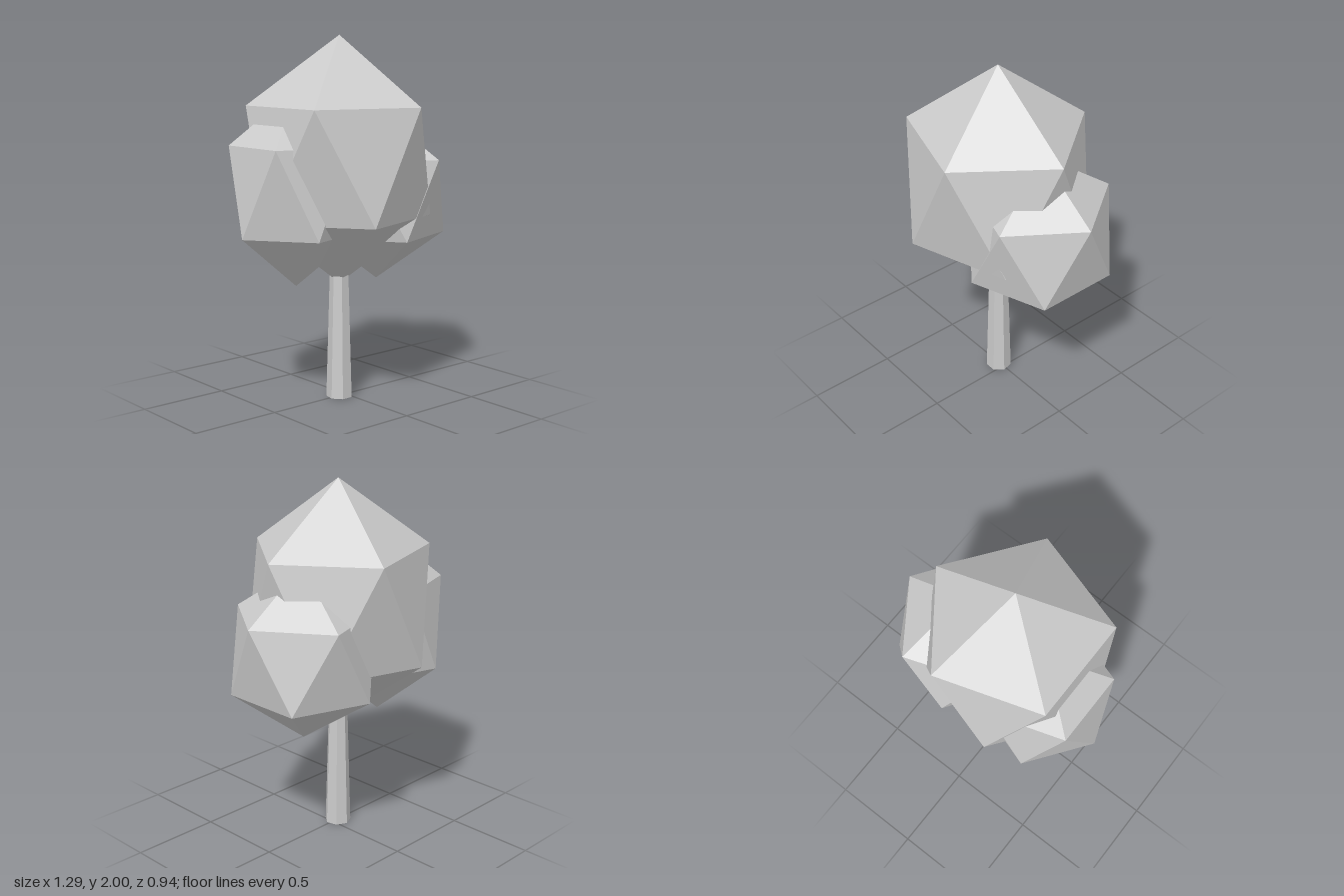
import * as THREE from 'three';
import { ConvexGeometry } from 'three/addons/geometries/ConvexGeometry.js';

const leafMaterial = new THREE.MeshStandardMaterial({ color: 0xcccccc, flatShading: true });
const barkMaterial = new THREE.MeshStandardMaterial({ color: 0xcccccc, flatShading: true });

// Stretched icosahedron standing on its tip: two poles and two staggered rings of five
function foliage(name, center, ringX, ringZ, halfHeight) {
  const points = [new THREE.Vector3(0, halfHeight, 0), new THREE.Vector3(0, -halfHeight, 0)];
  const ringY = halfHeight / Math.sqrt(5);
  for (let i = 0; i < 10; i++) {
    const a = (i * Math.PI) / 5;
    points.push(new THREE.Vector3(ringX * Math.cos(a), i % 2 ? -ringY : ringY, ringZ * Math.sin(a)));
  }
  const mesh = new THREE.Mesh(new ConvexGeometry(points), leafMaterial);
  mesh.name = name;
  mesh.position.set(...center);
  return mesh;
}

export function createModel() {
  const tree = new THREE.Group();
  tree.name = 'tree';

  // Seven-sided tapering trunk, its top hidden in the crown
  const trunk = new THREE.Mesh(new THREE.CylinderGeometry(0.048, 0.074, 0.9, 7), barkMaterial);
  trunk.name = 'trunk';
  trunk.position.set(-0.043, 0.45, 0);
  trunk.rotation.y = Math.PI;
  tree.add(trunk);

  // Large central crown with a smaller clump on each side
  tree.add(
    foliage('mainCrown', [-0.043, 1.323, 0], 0.508, 0.495, 0.677),
    foliage('leftClump', [0.262, 1.11, -0.036], 0.379, 0.397, 0.481),
    foliage('rightClump', [-0.291, 1.182, -0.072], 0.354, 0.35, 0.531),
  );
  return tree;
}
